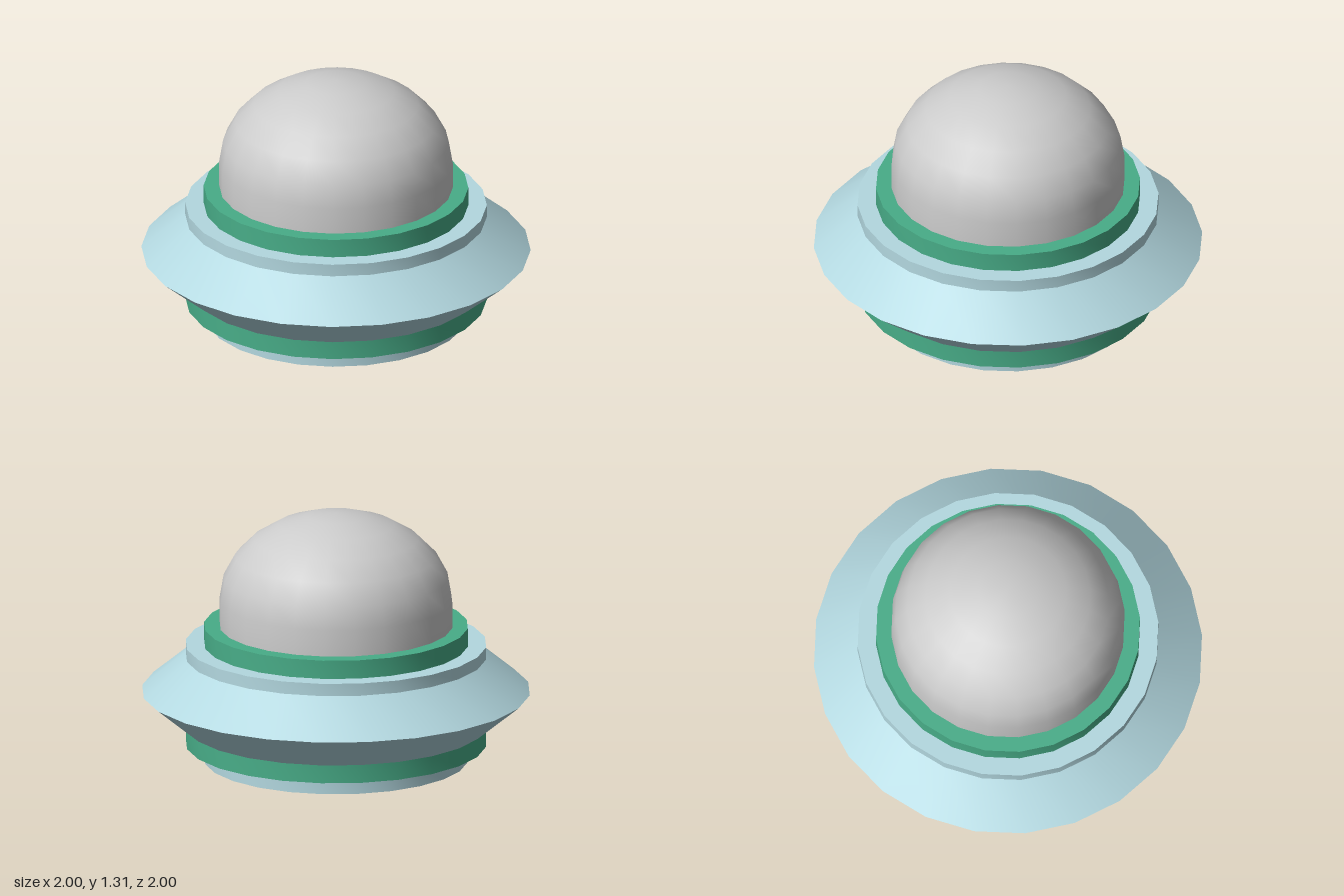
import * as THREE from 'three';
import { toCreasedNormals } from 'three/addons/utils/BufferGeometryUtils.js';

const SIDES = 24;
const BLUE = 0xb3d8e0, GREEN = 0x48ad88, GREY = 0xcccccc;

// Revolves a profile of [radius, height] points, listed from bottom to top.
function revolve(name, color, profile) {
  const points = profile.map(([r, y]) => new THREE.Vector2(r, y));
  const geometry = toCreasedNormals(new THREE.LatheGeometry(points, SIDES), 0.6);
  const mesh = new THREE.Mesh(geometry, new THREE.MeshStandardMaterial({ color }));
  mesh.name = name;
  return mesh;
}

export function createModel() {
  const model = new THREE.Group();
  model.name = 'flyingSaucer';

  // Foot with a closed underside
  model.add(revolve('base', BLUE, [[0, 0], [0.68, 0], [0.68, 0.085]]));

  // Band under the hull
  model.add(revolve('lowerBand', GREEN, [[0.68, 0.085], [0.775, 0.085], [0.775, 0.18]]));

  // Double-cone hull with a sharp rim and a short collar on top
  model.add(revolve('hull', BLUE, [
    [0.775, 0.18], [1, 0.365], [0.775, 0.55], [0.775, 0.615], [0.68, 0.615],
  ]));

  // Band the dome sits in
  model.add(revolve('upperBand', GREEN, [[0.68, 0.615], [0.68, 0.712], [0.6, 0.712]]));

  // Dome: a short straight wall, then a flattened half sphere
  const dome = [[0.6, 0.712]];
  const steps = 6;
  for (let i = 0; i <= steps; i++) {
    const a = (i / steps) * Math.PI / 2;
    dome.push([i === steps ? 0 : 0.6 * Math.cos(a), 0.85 + 0.46 * Math.sin(a)]);
  }
  model.add(revolve('dome', GREY, dome));

  return model;
}
